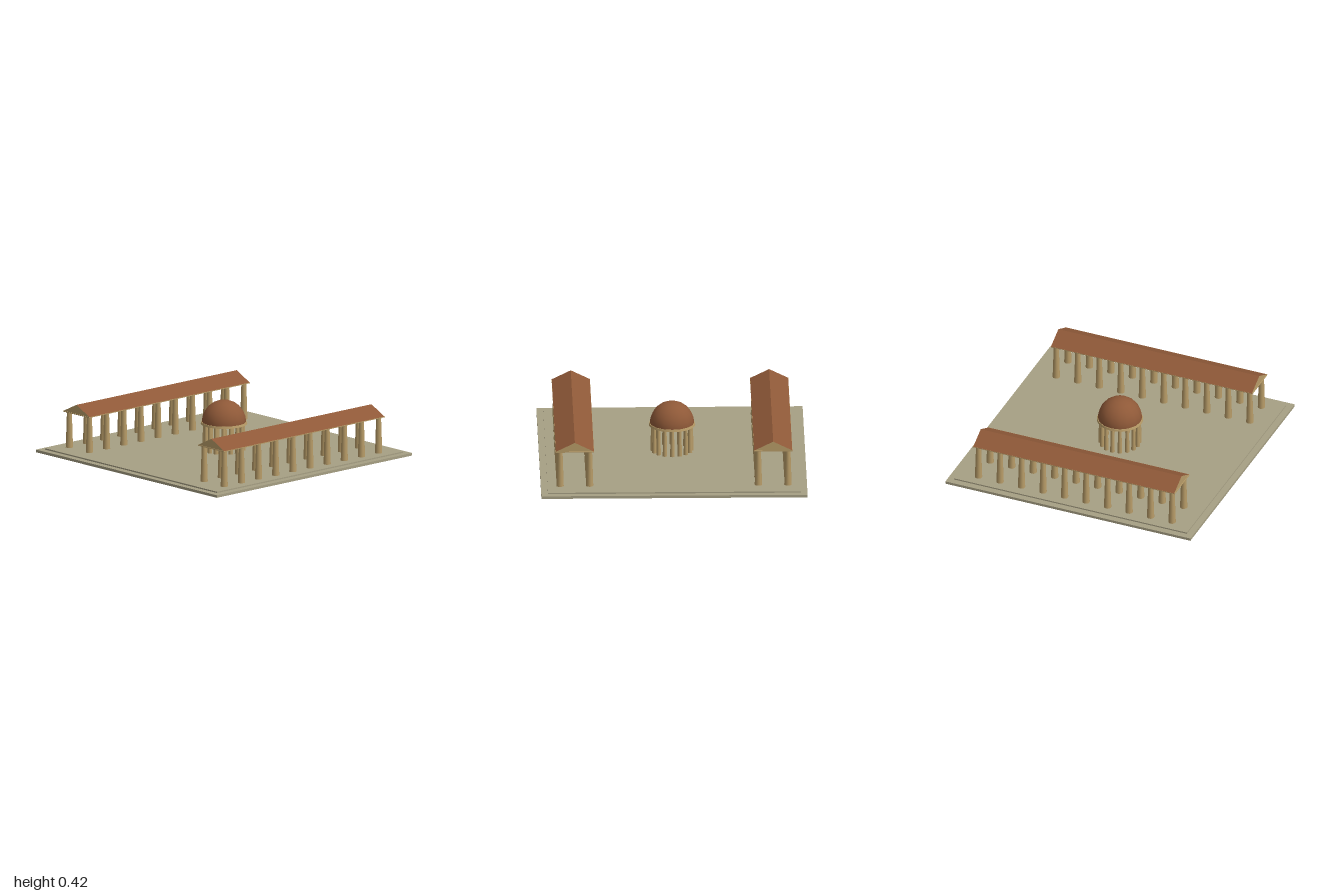
import * as THREE from 'three';

export function createModel() {
  const root = new THREE.Group();
  root.name = 'templeCourt';
  const mat = (name, color) => {
    const m = new THREE.MeshStandardMaterial({ color });
    m.name = name;
    return m;
  };
  const stone = mat('pavingStone', 0xa7a084);
  const sand = mat('sandstone', 0xb89c68);
  const tile = mat('terracotta', 0x8f5938);

  const add = (parent, name, geo, material, x = 0, y = 0, z = 0) => {
    const mesh = new THREE.Mesh(geo, material);
    mesh.name = name;
    mesh.position.set(x, y, z);
    parent.add(mesh);
    return mesh;
  };

  // Square outline of a given half width
  const square = (Type, h) => new Type([
    new THREE.Vector2(-h, -h), new THREE.Vector2(h, -h),
    new THREE.Vector2(h, h), new THREE.Vector2(-h, h),
  ]);

  // Stepped court floor: a kerb frame around a raised slab, recessed underneath
  const frame = square(THREE.Shape, 1);
  frame.holes.push(square(THREE.Path, 0.95));
  const kerbGeo = new THREE.ExtrudeGeometry(frame, { depth: 0.02, bevelEnabled: false });
  kerbGeo.rotateX(-Math.PI / 2);
  add(root, 'lowerStep', kerbGeo, stone);
  add(root, 'upperStep', new THREE.BoxGeometry(1.9, 0.022, 1.9), stone, 0, 0.019, 0);

  // Gabled roof prism: sandstone gable ends, tiled slopes
  const gable = new THREE.Shape();
  gable.moveTo(-0.143, 0);
  gable.lineTo(0.143, 0);
  gable.lineTo(0, 0.07);
  gable.closePath();
  const roofGeo = new THREE.ExtrudeGeometry(gable, { depth: 1.64, bevelEnabled: false });
  roofGeo.translate(0, 0, -0.82);

  // Tapered column with a slightly flared head
  const columnGeo = new THREE.LatheGeometry([
    new THREE.Vector2(0.028, 0),
    new THREE.Vector2(0.0195, 0.262),
    new THREE.Vector2(0.0225, 0.277),
  ], 12);

  // Colonnades, one along each side
  const plateGeo = new THREE.BoxGeometry(0.288, 0.006, 1.65);
  for (const side of [-1, 1]) {
    const hall = new THREE.Group();
    hall.name = side < 0 ? 'rightColonnade' : 'leftColonnade';
    hall.position.x = side * 0.745;
    for (const x of [-0.111, 0.111]) {
      for (let i = 0; i < 10; i++) {
        add(hall, 'column', columnGeo, sand, x, 0.03, -0.79 + i * 1.58 / 9);
      }
    }
    // Eaves plate with a stone ceiling beneath
    add(hall, 'eavesPlate', plateGeo, [sand, sand, sand, stone, sand, sand], 0, 0.308, 0);
    add(hall, 'roof', roofGeo, [sand, tile], 0, 0.311, 0);
    root.add(hall);
  }

  // Round domed pavilion
  const pavilion = new THREE.Group();
  pavilion.name = 'pavilion';
  const slimGeo = new THREE.CylinderGeometry(0.013, 0.018, 0.21, 10);
  for (let i = 0; i < 16; i++) {
    const a = i * Math.PI / 8;
    add(pavilion, 'pavilionColumn', slimGeo, sand, Math.sin(a) * 0.145, 0.135, Math.cos(a) * 0.145);
  }
  // Ring beam under the dome
  add(pavilion, 'ringBeam', new THREE.CylinderGeometry(0.171, 0.175, 0.016, 24), sand, 0, 0.242, 0);
  const domeGeo = new THREE.SphereGeometry(0.167, 16, 6, 0, Math.PI * 2, 0, Math.PI / 2);
  add(pavilion, 'dome', domeGeo, tile, 0, 0.249, 0);
  root.add(pavilion);

  return root;
}
